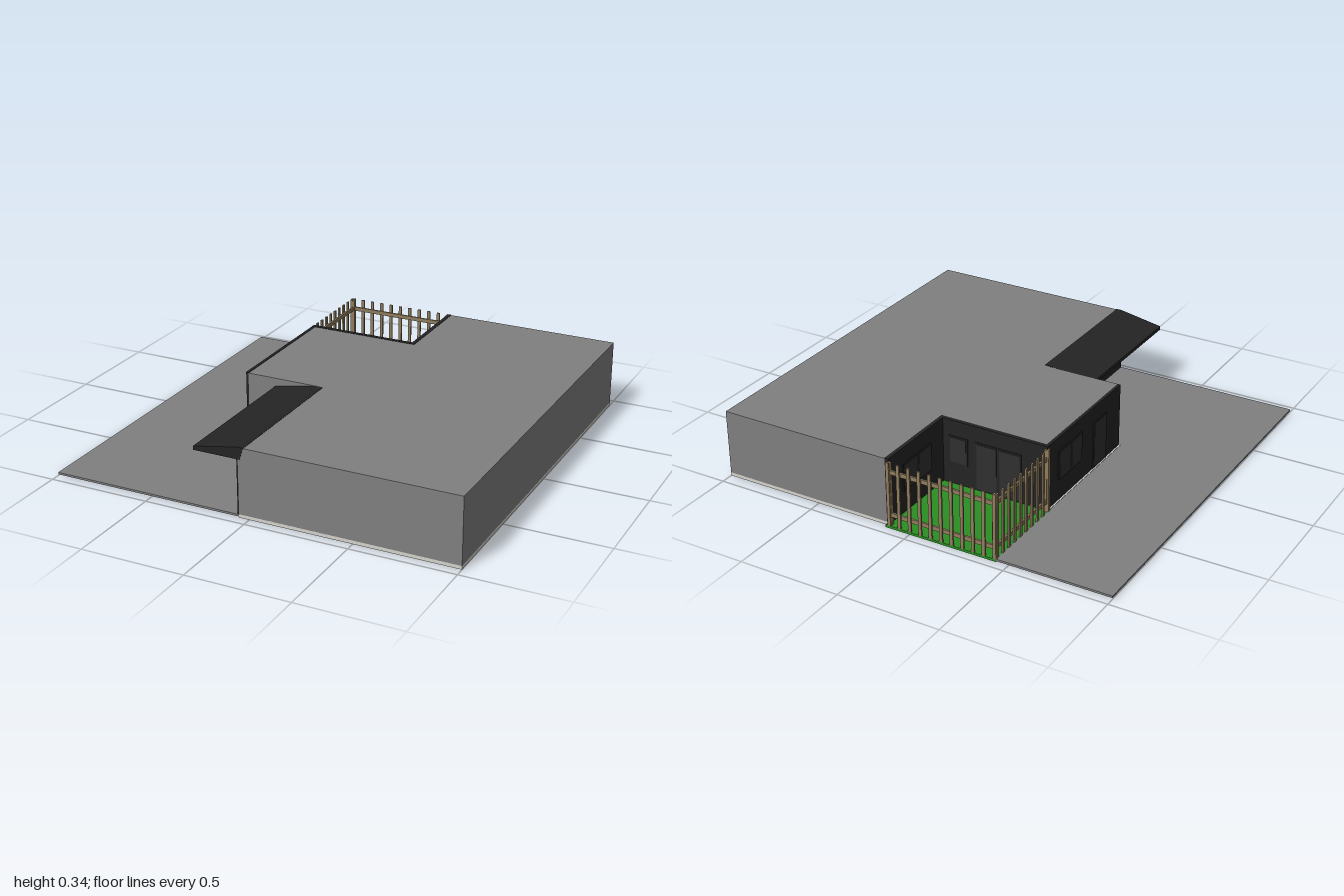
import * as THREE from 'three';

const mat = (name, color) => {
  const m = new THREE.MeshStandardMaterial({ color });
  m.name = name;
  return m;
};

export function createModel() {
  const root = new THREE.Group();
  root.name = 'houseWithYard';
  const grey = mat('greyConcrete', 0x808080);
  const dark = mat('darkFacade', 0x242424);
  const glass = mat('darkGlass', 0x303030);
  const grass = mat('grassGreen', 0x2b8f22);
  const wood = mat('fenceWood', 0x8f7d5e);
  const pale = mat('paleFloor', 0xd4d3cc);

  // box given by its min and max corners
  const box = (name, m, [x0, y0, z0], [x1, y1, z1], parent = root) => {
    const mesh = new THREE.Mesh(new THREE.BoxGeometry(x1 - x0, y1 - y0, z1 - z0), m);
    mesh.position.set((x0 + x1) / 2, (y0 + y1) / 2, (z0 + z1) / 2);
    mesh.name = name;
    parent.add(mesh);
    return mesh;
  };

  // plan outline (x, z) raised from y0 to y1
  const slab = (name, m, plan, y0, y1) => {
    const shape = new THREE.Shape(plan.map(([x, z]) => new THREE.Vector2(x, -z)));
    const geo = new THREE.ExtrudeGeometry(shape, { depth: y1 - y0, bevelEnabled: false });
    geo.rotateX(-Math.PI / 2);
    geo.translate(0, y0, 0);
    const mesh = new THREE.Mesh(geo, m);
    mesh.name = name;
    root.add(mesh);
  };

  // ground: paving, floor plate and lawn
  slab('paving', grey, [[-1, 0.953], [-0.05, 0.953], [-0.05, 0.203], [-0.44, 0.203], [-0.44, -0.957], [-1, -0.957]], 0.005, 0.015);
  slab('floorPlate', pale, [[-0.05, 0.953], [1, 0.953], [1, -0.938], [0.125, -0.938], [0.125, -0.485],
    [-0.44, -0.485], [-0.44, 0.2], [-0.05, 0.2]], 0, 0.017);
  box('lawn', grass, [-0.44, 0, -0.957], [0.125, 0.012, -0.485]);

  // house body
  slab('houseBody', grey, [[-0.05, 0.953], [1, 0.953], [1, -0.938], [0.13, -0.938], [0.13, -0.478],
    [-0.418, -0.478], [-0.418, 0.203], [-0.05, 0.203]], 0.016, 0.336);

  // dark cladding on the sheltered walls
  box('sideCladding', dark, [-0.432, 0.016, -0.495], [-0.417, 0.338, 0.2]);
  box('yardCladding', dark, [-0.432, 0.012, -0.497], [0.13, 0.338, -0.477]);
  box('yardSideCladding', dark, [0.112, 0.012, -0.938], [0.131, 0.338, -0.477]);
  box('entranceCladding', dark, [-0.058, 0.015, 0.203], [-0.049, 0.3, 0.951]);

  // windows and doors: thin frame with glass, facing -x or -z
  const opening = (name, axis, plane, a0, a1, y0, y1, panes) => {
    const g = new THREE.Group();
    g.name = name;
    root.add(g);
    const plate = (n, m, u0, u1, v0, v1, t) => axis === 'x'
      ? box(n, m, [plane - t, v0, u0], [plane, v1, u1], g)
      : box(n, m, [u0, v0, plane - t], [u1, v1, plane], g);
    plate('frame', dark, a0, a1, y0, y1, 0.004);
    const w = (a1 - a0) / panes;
    for (let i = 0; i < panes; i++) {
      plate('pane', glass, a0 + i * w + 0.008, a0 + (i + 1) * w - 0.008, y0 + 0.008, y1 - 0.008, 0.006);
    }
  };
  opening('sideWindow', 'x', -0.432, -0.4, -0.18, 0.12, 0.27, 2);
  opening('sideDoor', 'x', -0.432, -0.07, 0.06, 0.02, 0.26, 1);
  opening('yardDoor', 'z', -0.497, -0.3, -0.06, 0.015, 0.26, 2);
  opening('yardWindow', 'z', -0.497, -0.02, 0.08, 0.12, 0.26, 1);
  opening('yardSideWindow', 'x', 0.112, -0.83, -0.6, 0.12, 0.26, 2);

  // sloping canopy over the entrance
  const wedge = new THREE.Shape([[-0.272, 0.28], [-0.04, 0.28], [-0.022, 0.338], [-0.05, 0.338], [-0.272, 0.298]]
    .map(([x, y]) => new THREE.Vector2(x, y)));
  const canopyGeo = new THREE.ExtrudeGeometry(wedge, { depth: 0.748, bevelEnabled: false });
  const canopy = new THREE.Mesh(canopyGeo, dark);
  canopy.position.z = 0.206;
  canopy.name = 'canopy';
  root.add(canopy);

  // picket fence along local x, pickets on the outer (-z) side
  const fence = (name, length, count) => {
    const g = new THREE.Group();
    g.name = name;
    for (const y of [0.055, 0.27]) box('rail', wood, [0, y, 0], [length, y + 0.02, 0.01], g);
    for (let i = 0; i < count; i++) {
      const x = (length - 0.016) * i / (count - 1);
      box('picket', wood, [x, 0.012, -0.008], [x + 0.016, 0.33, 0], g);
    }
    for (const x of [0, length - 0.018]) box('post', wood, [x, 0.012, 0], [x + 0.018, 0.325, 0.016], g);
    root.add(g);
    return g;
  };
  fence('backFence', 0.555, 11).position.set(-0.44, 0, -0.949);
  const side = fence('sideFence', 0.46, 10);
  side.rotation.y = Math.PI / 2;
  side.position.set(-0.435, 0, -0.49);

  return root;
}
